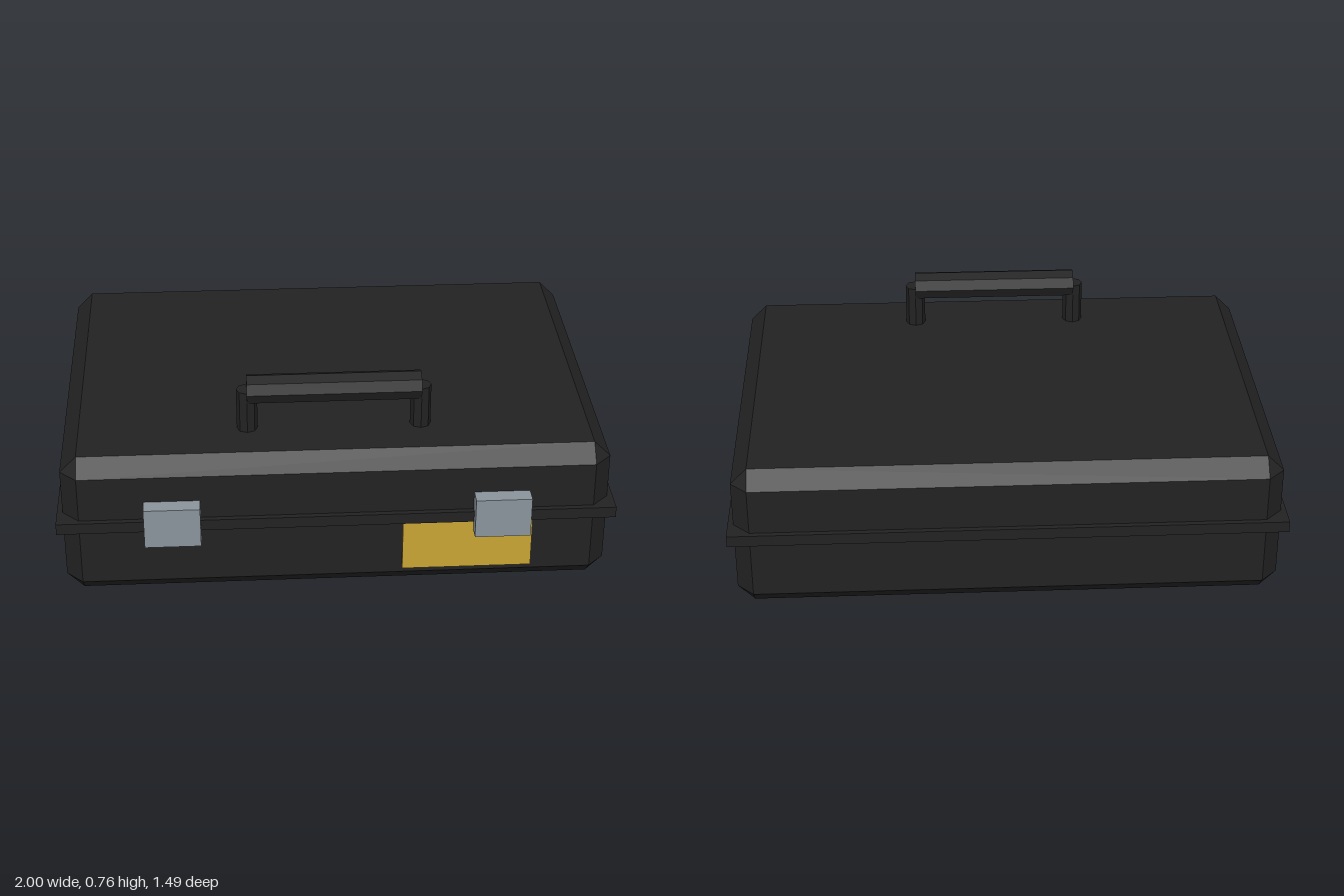
import * as THREE from 'three';
import { ConvexGeometry } from 'three/addons/geometries/ConvexGeometry.js';

const mat = (name, color) => {
  const m = new THREE.MeshStandardMaterial({ color, flatShading: true });
  m.name = name;
  return m;
};

// Box with every edge and corner cut at 45 degrees
function chamferedBox(w, h, d, c) {
  const points = [];
  for (const x of [-w / 2, w / 2])
    for (const y of [-h / 2, h / 2])
      for (const z of [-d / 2, d / 2]) {
        const inX = x - Math.sign(x) * c, inY = y - Math.sign(y) * c, inZ = z - Math.sign(z) * c;
        points.push(
          new THREE.Vector3(x, inY, inZ),
          new THREE.Vector3(inX, y, inZ),
          new THREE.Vector3(inX, inY, z)
        );
      }
  return new ConvexGeometry(points);
}

export function createModel() {
  const black = mat('black plastic', 0x222222);
  const steel = mat('steel', 0x8a949b);
  const yellow = mat('yellow label', 0xc9a535);

  const model = new THREE.Group();
  model.name = 'carryCase';
  const add = (name, geometry, material, x, y, z, parent = model) => {
    const mesh = new THREE.Mesh(geometry, material);
    mesh.name = name;
    mesh.position.set(x, y, z);
    parent.add(mesh);
    return mesh;
  };

  // Shell and the rim where lid meets base
  add('caseShell', chamferedBox(1.96, 0.55, 1.41, 0.06), black, 0, 0.275, -0.02);
  add('rim', new THREE.BoxGeometry(2, 0.042, 1.45), black, 0, 0.3, -0.02);

  // Front label plate
  add('labelPlate', new THREE.BoxGeometry(0.467, 0.2, 0.009), yellow, 0.468, 0.18, 0.6895);

  // Handle: two posts and an octagonal grip
  const handle = new THREE.Group();
  handle.name = 'handle';
  model.add(handle);
  const grip = add('grip', new THREE.CylinderGeometry(0.054, 0.054, 0.625, 8), black, 0, 0.708, 0.453, handle);
  grip.rotation.z = Math.PI / 2;

  // Posts and latches, mirrored
  for (const [side, s] of [['left', 1], ['right', -1]]) {
    add(side + 'Post', new THREE.CylinderGeometry(0.0375, 0.0375, 0.17, 8), black, s * 0.3125, 0.623, 0.453, handle);
    add(side + 'Latch', new THREE.BoxGeometry(0.2, 0.153, 0.06), steel, s * 0.588, 0.315, 0.715);
  }
  return model;
}
